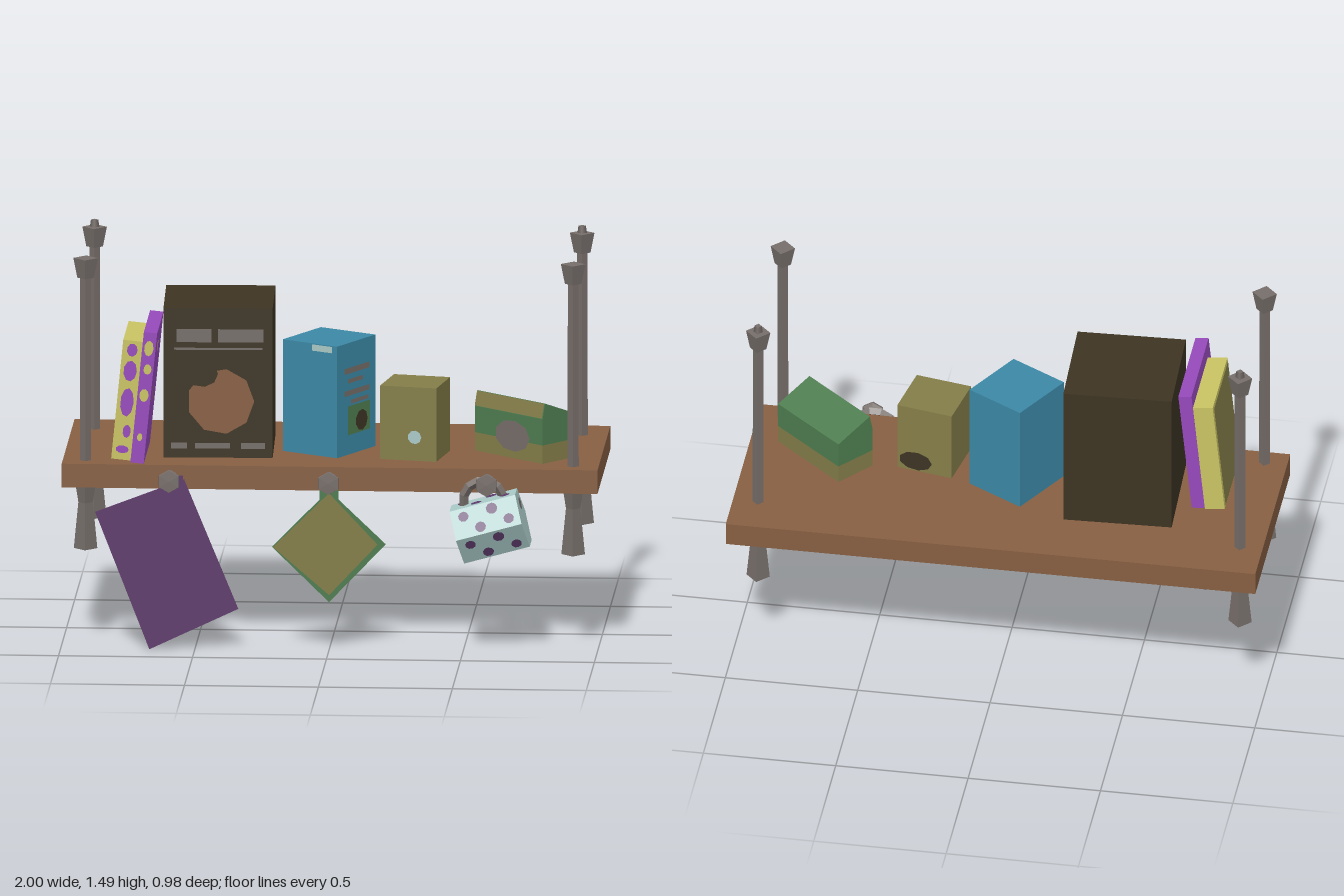
import * as THREE from 'three';

const mat = (name, color) => Object.assign(new THREE.MeshStandardMaterial({ color }), { name });
const rad = THREE.MathUtils.degToRad;

// Faceted normals for the low-poly style
function flat(geo) {
  const g = geo.index ? geo.toNonIndexed() : geo;
  g.computeVertexNormals();
  return g;
}

export function createModel() {
  const root = new THREE.Group();
  root.name = 'hangingShelf';
  const wood = mat('wood brown', 0x875f43), grey = mat('metal grey', 0x766e6a);
  const dark = mat('dark brown', 0x3d3423), blue = mat('blue', 0x3b88a5);
  const olive = mat('olive', 0x847d49), green = mat('green', 0x4e7d50);
  const yellow = mat('yellow', 0xc9c463), violet = mat('violet', 0x9649bb);
  const plum = mat('plum', 0x5e3b6c), pale = mat('pale blue', 0xa9c9c6);

  function add(parent, name, geo, m, x = 0, y = 0, z = 0) {
    const mesh = new THREE.Mesh(geo, m);
    mesh.name = name;
    mesh.position.set(x, y, z);
    parent.add(mesh);
    return mesh;
  }
  function group(parent, name, x, y, z, ry = 0, rz = 0) {
    const g = new THREE.Group();
    g.name = name;
    g.position.set(x, y, z);
    g.rotation.set(0, rad(ry), rad(rz));
    parent.add(g);
    return g;
  }
  const box = (p, name, m, w, h, d, x, y, z) => add(p, name, new THREE.BoxGeometry(w, h, d), m, x, y, z);
  // A face group lets painted shapes be placed by (across, up) on a side of a box
  const rect = (face, name, m, w, h, u, v, lift = 0.003) => add(face, name, new THREE.PlaneGeometry(w, h), m, u, v, lift);
  function spot(face, name, m, w, h, u, v, lift = 0.003) {
    const s = add(face, name, new THREE.CircleGeometry(0.5, 9), m, u, v, lift);
    s.scale.set(w, h, 1);
    return s;
  }
  function slab(pts, t) {
    const g = new THREE.ExtrudeGeometry(new THREE.Shape(pts.map(p => new THREE.Vector2(...p))), { depth: t, bevelEnabled: false });
    return g.translate(0, 0, -t / 2);
  }
  const lathe = (pts, n) => flat(new THREE.LatheGeometry(pts.map(p => new THREE.Vector2(...p)), n));

  // Board
  box(root, 'board', wood, 2, 0.09, 0.795, 0, 0.645, -0.0925);

  // Four posts with flared feet and caps
  const postGeo = lathe([[0, 0.355], [0.044, 0.355], [0.027, 0.53], [0.038, 0.6], [0.021, 0.61],
    [0.02, 1.385], [0.031, 1.385], [0.046, 1.46], [0, 1.46]], 4);
  const tipGeo = new THREE.CylinderGeometry(0.014, 0.018, 0.03, 4);
  for (const x of [-0.915, 0.905]) for (const z of [0.235, -0.325]) {
    add(root, 'post', postGeo, grey, x, 0, z);
    if (z < 0) add(root, 'postTip', tipGeo, grey, x, 1.472, z);
  }

  // Hooks on the front edge
  const hookGeo = lathe([[0, 0], [0.028, 0], [0.012, 0.02], [0.012, 0.06], [0.044, 0.08], [0.042, 0.09], [0, 0.092]], 6);
  for (const x of [-0.595, 0, 0.59]) add(root, 'hook', hookGeo, grey, x, 0.645, 0.304).rotation.x = Math.PI / 2;

  // Two leaning books
  function book(name, m, x, w, h, d, lean) {
    const b = group(root, name, x, 0.69, -0.1 + d / 2, 0, lean);
    box(b, name + 'Body', m, w, h, d, -w / 2, h / 2, 0);
    return b;
  }
  const b1 = book('yellowBook', yellow, -0.745, 0.075, 0.455, 0.335, -5.7);
  const cover1 = group(b1, 'coverFace', -0.075, 0, 0, -90);
  rect(cover1, 'cover', olive, 0.315, 0.435, 0, 0.2275);
  const spine1 = group(b1, 'spineFace', -0.0375, 0, 0.1675);
  for (const [w, h, u, v] of [[0.04, 0.05, 0, 0.42], [0.05, 0.08, 0, 0.34], [0.05, 0.11, 0, 0.22], [0.03, 0.05, 0.01, 0.11], [0.05, 0.03, 0, 0.04]])
    spot(spine1, 'spineMark', violet, w, h, u, v);
  const b2 = book('violetBook', violet, -0.695, 0.05, 0.5, 0.39, -5.8);
  const spine2 = group(b2, 'spineFace', -0.025, 0, 0.195);
  for (const [w, h, u, v] of [[0.035, 0.06, 0, 0.44], [0.03, 0.04, 0.003, 0.36], [0.035, 0.05, 0, 0.26], [0.02, 0.03, 0, 0.1]])
    spot(spine2, 'spineMark', yellow, w, h, u, v);
  const cover2 = group(b2, 'coverFace', 0, 0, 0, 90);
  rect(cover2, 'coverPatch', yellow, 0.05, 0.04, -0.105, 0.435);
  spot(cover2, 'coverMark', olive, 0.05, 0.08, -0.12, 0.25);

  // Large dark box with a bitten round picture
  const big = group(root, 'darkBox', -0.432, 0.69, -0.042, 2);
  box(big, 'darkBoxBody', dark, 0.407, 0.57, 0.41, 0, 0.285, 0);
  const bigFace = group(big, 'front', 0, 0, 0.205);
  rect(bigFace, 'titleBar', grey, 0.13, 0.05, -0.09, 0.465);
  rect(bigFace, 'titleBar', grey, 0.17, 0.05, 0.085, 0.465);
  rect(bigFace, 'thinBar', grey, 0.33, 0.008, 0, 0.415);
  for (const [w, u] of [[0.06, -0.145], [0.13, -0.02], [0.09, 0.13]]) rect(bigFace, 'footBar', grey, w, 0.022, u, 0.046);
  spot(bigFace, 'roundPicture', wood, 0.25, 0.25, 0.01, 0.215);
  spot(bigFace, 'bite', dark, 0.12, 0.1, -0.06, 0.32, 0.005);

  // Blue box
  const bl = group(root, 'blueBox', -0.022, 0.69, -0.026, -29.7);
  box(bl, 'blueBoxBody', blue, 0.242, 0.425, 0.26, 0, 0.2125, 0);
  const blSide = group(bl, 'side', 0.121, 0, 0, 90);
  for (const [w, h, u, v] of [[0.17, 0.022, 0, 0.32], [0.1, 0.016, -0.01, 0.28], [0.17, 0.02, 0, 0.235], [0.12, 0.015, 0.02, 0.2]])
    rect(blSide, 'sideBar', grey, w, h, u, v);
  rect(blSide, 'sidePicture', green, 0.15, 0.11, 0.015, 0.13);
  spot(blSide, 'sidePictureMark', dark, 0.08, 0.08, 0.03, 0.12, 0.005);
  rect(group(bl, 'front', 0, 0, 0.13), 'frontPatch', pale, 0.09, 0.024, 0.055, 0.41);

  // Olive box
  const ob = group(root, 'oliveBox', 0.305, 0.69, 0.067, -10.8);
  box(ob, 'oliveBoxBody', olive, 0.216, 0.28, 0.21, 0, 0.14, 0);
  spot(group(ob, 'front', 0, 0, 0.105), 'frontSpot', pale, 0.052, 0.052, 0.025, 0.09);
  spot(group(ob, 'back', 0, 0, -0.105, 180), 'backSpot', dark, 0.13, 0.08, -0.035, 0.045);

  // Green carton with a wedge lid
  const ca = group(root, 'carton', 0.71, 0.69, 0.026, -40.3);
  box(ca, 'cartonBase', olive, 0.348, 0.07, 0.166, 0, 0.035, 0);
  box(ca, 'cartonBody', green, 0.348, 0.1, 0.166, 0, 0.12, 0);
  const lid = slab([[-0.083, 0.17], [0.083, 0.17], [-0.07, 0.228]], 0.348);
  add(ca, 'cartonLid', lid, green).rotation.y = Math.PI / 2;
  rect(ca, 'lidFront', olive, 0.346, 0.056, 0, 0.2, 0.08).rotation.x = -0.22;
  spot(group(ca, 'front', 0, 0, 0.083), 'frontSpot', grey, 0.18, 0.12, 0.02, 0.085);

  // Hanging cloth
  const cloth = group(root, 'cloth', -0.605, 0, 0.355, 6.6);
  add(cloth, 'clothSheet', slab([[-0.065, 0], [0.267, 0.15], [0.065, 0.645], [-0.267, 0.525]], 0.006), plum);
  box(cloth, 'clothLoop', plum, 0.07, 0.08, 0.008, 0.025, 0.62, 0);

  // Hanging pot holder
  const pad = group(root, 'potHolder', 0, 0, 0.348, 10);
  const diamond = (l, r, top, bottom) => [[0, bottom], [r, 0.4], [0, top], [l, 0.4]];
  add(pad, 'padEdge', slab(diamond(-0.213, 0.213, 0.61, 0.185), 0.006), green);
  add(pad, 'padFace', slab(diamond(-0.21, 0.182, 0.6, 0.212), 0.01), olive);
  box(pad, 'padLoop', green, 0.07, 0.1, 0.006, 0, 0.61, 0);

  // Hexagonal mug hung on its side, open on the left
  const mug = group(root, 'mug', 0.605, 0.488, 0.372, 0, 15.5);
  const cup = lathe([[0, -0.1], [0.1, -0.1], [0.1, 0.127], [0.118, 0.127], [0.118, -0.127], [0, -0.127]].reverse(), 6);
  add(mug, 'cup', cup, pale).rotation.z = Math.PI / 2;
  for (let i = 0; i < 6; i++) {
    const side = group(mug, 'mugSide', 0, 0, 0);
    side.rotation.x = rad(30 + 60 * i);
    for (const [u, v, s] of [[-0.08, 0.025, 0.04], [0.03, 0.03, 0.044], [-0.025, -0.03, 0.042], [0.085, -0.025, 0.04]])
      spot(side, 'mugDot', plum, s, s, u, v, 0.105);
  }
  spot(group(mug, 'mugBase', 0.127, 0, 0, 90), 'baseMark', grey, 0.07, 0.045, 0, 0.055);
  add(mug, 'mugHandle', flat(new THREE.TorusGeometry(0.075, 0.018, 4, 6, Math.PI)), grey, 0, 0.1, 0);

  return root;
}
